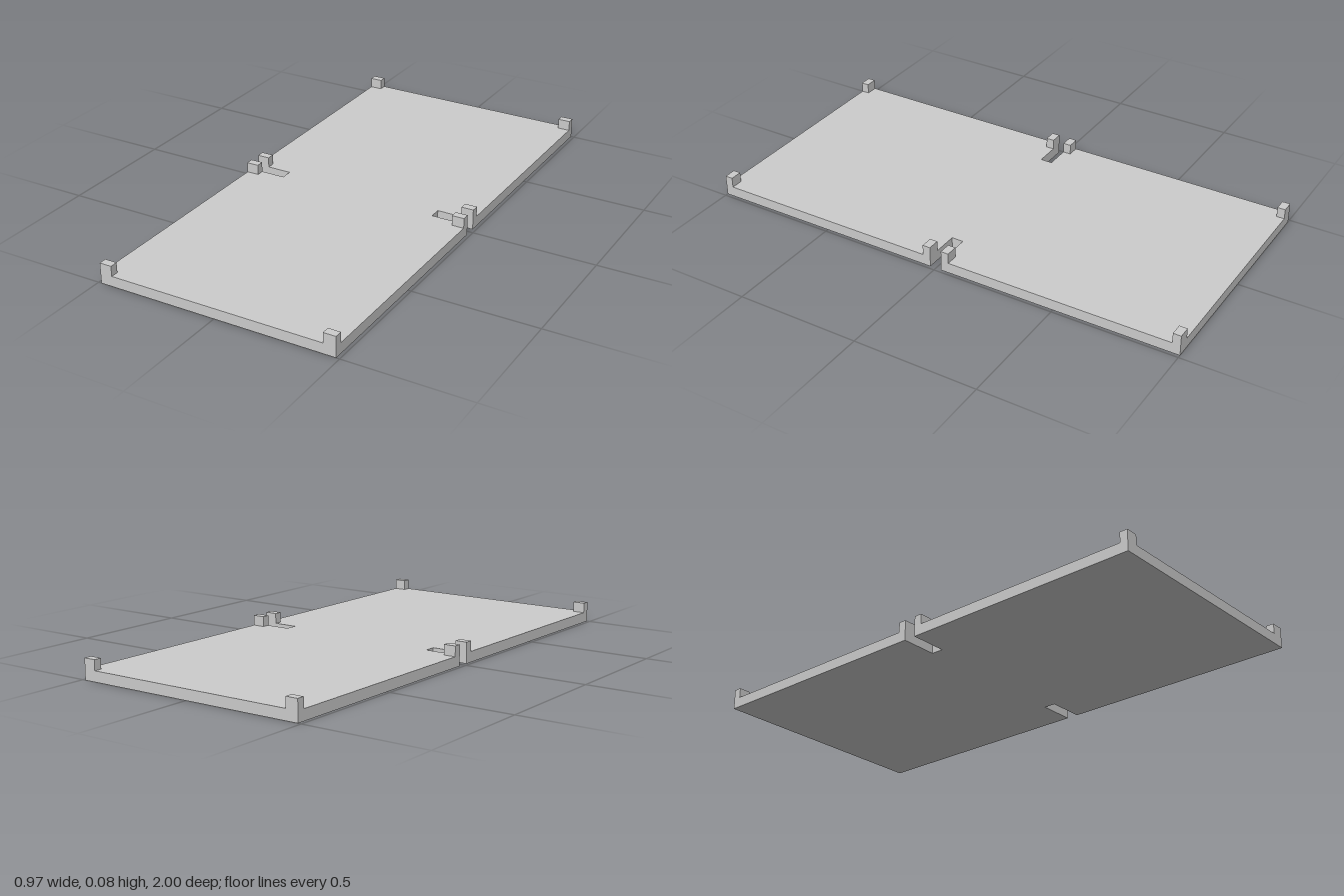
import * as THREE from 'three';

const HALF_W = 0.487, HALF_L = 1;        // plate half width and half length
const THICK = 0.042, POST_TOP = 0.083;   // plate and post heights
const SLOT_X = 0.337, SLOT_Z = 0.024;    // slot inner end and half width
const POST_W = 0.05, POST_D = 0.032;     // post footprint

export function createModel() {
  const group = new THREE.Group();
  const material = new THREE.MeshStandardMaterial({ color: 0xcccccc, flatShading: true });

  // Flat plate with a slot cut into the middle of each long side
  const half = [[HALF_W, -HALF_L], [HALF_W, -SLOT_Z], [SLOT_X, -SLOT_Z],
    [SLOT_X, SLOT_Z], [HALF_W, SLOT_Z], [HALF_W, HALF_L]];
  const outline = [...half, ...half.map(([x, y]) => [-x, -y])];
  const shape = new THREE.Shape(outline.map(([x, y]) => new THREE.Vector2(x, y)));
  const plateGeometry = new THREE.ExtrudeGeometry(shape, { depth: THICK, bevelEnabled: false });
  plateGeometry.rotateX(-Math.PI / 2);
  const plate = new THREE.Mesh(plateGeometry, material);
  plate.name = 'plate';
  group.add(plate);

  // Small square posts at the corners and on both sides of each slot
  const postHeight = POST_TOP - THICK;
  const postGeometry = new THREE.BoxGeometry(POST_W, postHeight, POST_D);
  const rows = [['cornerPost', HALF_L - POST_D / 2], ['slotPost', SLOT_Z + POST_D / 2]];
  for (const [name, z] of rows) {
    for (const sx of [-1, 1]) {
      for (const sz of [-1, 1]) {
        const post = new THREE.Mesh(postGeometry, material);
        post.name = name;
        post.position.set(sx * (HALF_W - POST_W / 2), THICK + postHeight / 2, sz * z);
        group.add(post);
      }
    }
  }
  return group;
}
